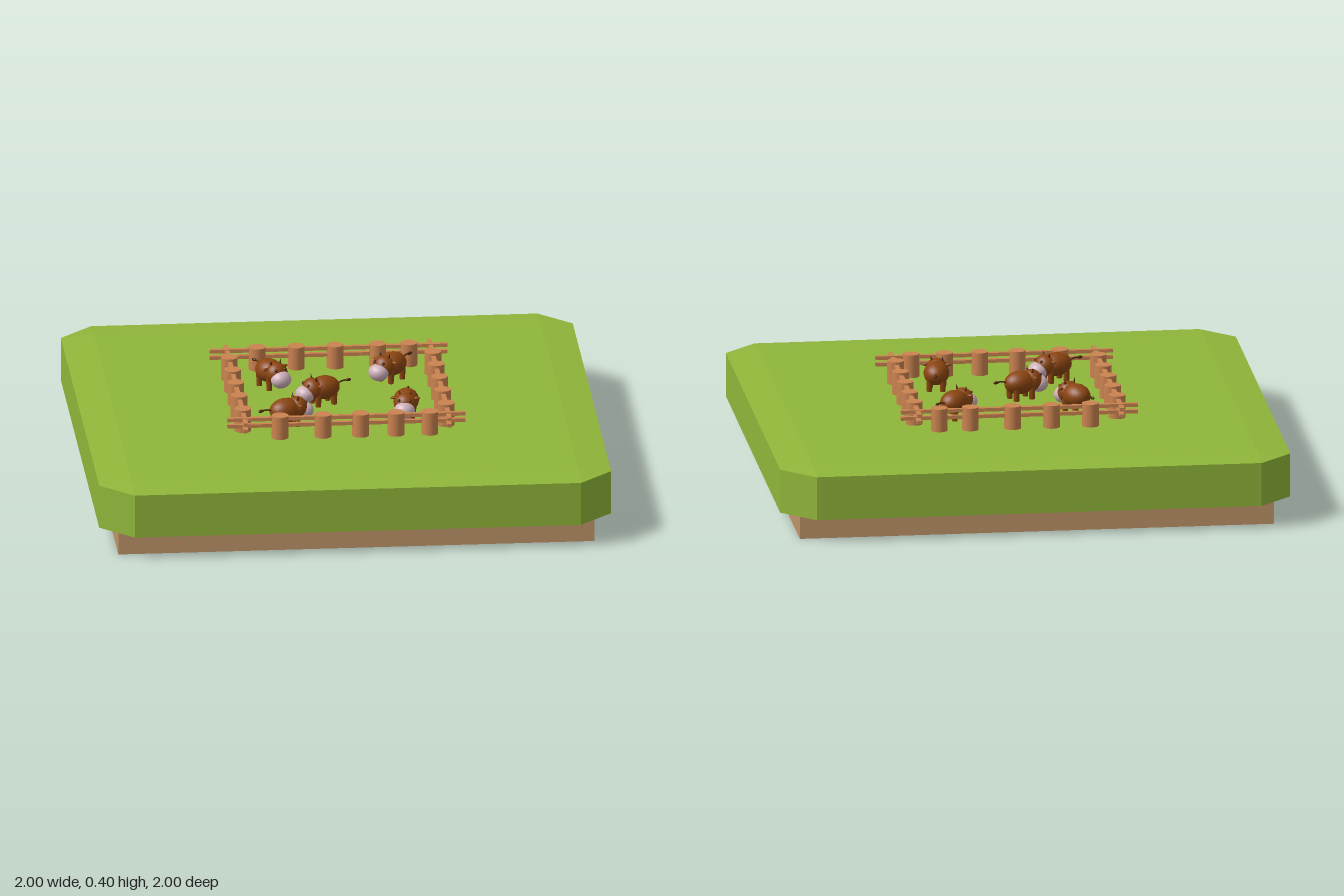
import * as THREE from 'three';
import { ConvexGeometry } from 'three/addons/geometries/ConvexGeometry.js';

const mat = (name, color, flatShading = false) => {
  const m = new THREE.MeshStandardMaterial({ color, flatShading });
  m.name = name;
  return m;
};

export function createModel() {
  const grass = mat('grass', 0x90b63a, true);
  const soil = mat('soil', 0xbf9568);
  const wood = mat('wood', 0xcb8350);
  const hide = mat('hide', 0x8b4510);
  const pink = mat('muzzle pink', 0xcfb0ba);
  const dark = mat('dark brown', 0x4e2708);

  const root = new THREE.Group();
  const add = (parent, name, geometry, material, x = 0, y = 0, z = 0) => {
    const mesh = new THREE.Mesh(geometry, material);
    mesh.name = name;
    mesh.position.set(x, y, z);
    parent.add(mesh);
    return mesh;
  };

  // Ground: soil slab under a turf block with all edges chamfered
  add(root, 'soilSlab', new THREE.BoxGeometry(1.86, 0.1, 1.86), soil, 0, 0.05, 0);
  const points = [];
  for (const sx of [-1, 1]) for (const sy of [-1, 1]) for (const sz of [-1, 1]) {
    const c = 0.872, h = 0.0865;
    points.push(
      new THREE.Vector3(sx * c, sy * 0.099, sz * c),
      new THREE.Vector3(sx, sy * h, sz * c),
      new THREE.Vector3(sx * c, sy * h, sz));
  }
  add(root, 'turf', new ConvexGeometry(points), grass, 0, 0.179, 0);

  // Fence: round posts and two rails on each side, rails crossing at the corners
  const fence = new THREE.Group();
  fence.name = 'fence';
  root.add(fence);
  const postGeo = new THREE.CylinderGeometry(0.033, 0.033, 0.1, 20);
  const post = (x, z) => add(fence, 'post', postGeo, wood, x, 0.319, z);
  [-0.273, -0.12, 0.032, 0.198, 0.32].forEach(x => post(x, -0.41));
  [-0.253, -0.085, 0.062, 0.2, 0.332].forEach(x => post(x, 0.4));
  for (const x of [-0.391, 0.404]) {
    [-0.3, -0.155, -0.005, 0.147, 0.305].forEach(z => post(x, z));
  }
  const railX = new THREE.BoxGeometry(0.93, 0.014, 0.018);
  const railZ = new THREE.BoxGeometry(0.018, 0.014, 0.93);
  for (const y of [0.33, 0.356]) {
    for (const z of [-0.41, 0.4]) add(fence, 'rail', railX, wood, 0.006, y, z);
    for (const x of [-0.391, 0.404]) add(fence, 'rail', railZ, wood, x, y - 0.003, -0.004);
  }

  // Cattle: each faces +z in its own space, feet on the turf
  const ball = new THREE.SphereGeometry(1, 24, 16);
  const legGeo = new THREE.CylinderGeometry(0.013, 0.011, 0.05, 10);
  const hornGeo = new THREE.ConeGeometry(0.006, 0.022, 8);
  const tailGeo = new THREE.TubeGeometry(new THREE.QuadraticBezierCurve3(
    new THREE.Vector3(0, 0.07, -0.062),
    new THREE.Vector3(0, 0.085, -0.085),
    new THREE.Vector3(0, 0.08, -0.11)), 8, 0.003, 6);

  const makeCow = (x, z, yaw) => {
    const cow = new THREE.Group();
    cow.name = 'cow';
    cow.position.set(x, 0.277, z);
    cow.rotation.y = yaw;
    root.add(cow);
    const blob = (name, m, px, py, pz, rx, ry, rz) =>
      add(cow, name, ball, m, px, py, pz).scale.set(rx, ry, rz);
    blob('body', hide, 0, 0.067, -0.008, 0.05, 0.046, 0.064);
    blob('head', hide, 0, 0.07, 0.045, 0.044, 0.043, 0.04);
    blob('muzzle', pink, 0, 0.053, 0.076, 0.041, 0.034, 0.038);
    add(cow, 'tail', tailGeo, dark);
    blob('tailTuft', dark, 0, 0.08, -0.115, 0.006, 0.006, 0.012);
    for (const s of [-1, 1]) {
      blob('ear', hide, s * 0.045, 0.09, 0.034, 0.013, 0.006, 0.007);
      blob('eye', dark, s * 0.021, 0.092, 0.073, 0.006, 0.006, 0.006);
      add(cow, 'horn', hornGeo, dark, s * 0.022, 0.114, 0.038).rotation.z = -s * 0.25;
      for (const pz of [-0.038, 0.032]) add(cow, 'leg', legGeo, hide, s * 0.026, 0.025, pz);
    }
  };
  [
    [-0.24, -0.195, 0.5],
    [0.235, -0.235, -0.77],
    [-0.055, 0.018, -1.16],
    [-0.215, 0.265, 2.0],
    [0.256, 0.2, -0.16],
  ].forEach(c => makeCow(...c));

  return root;
}
